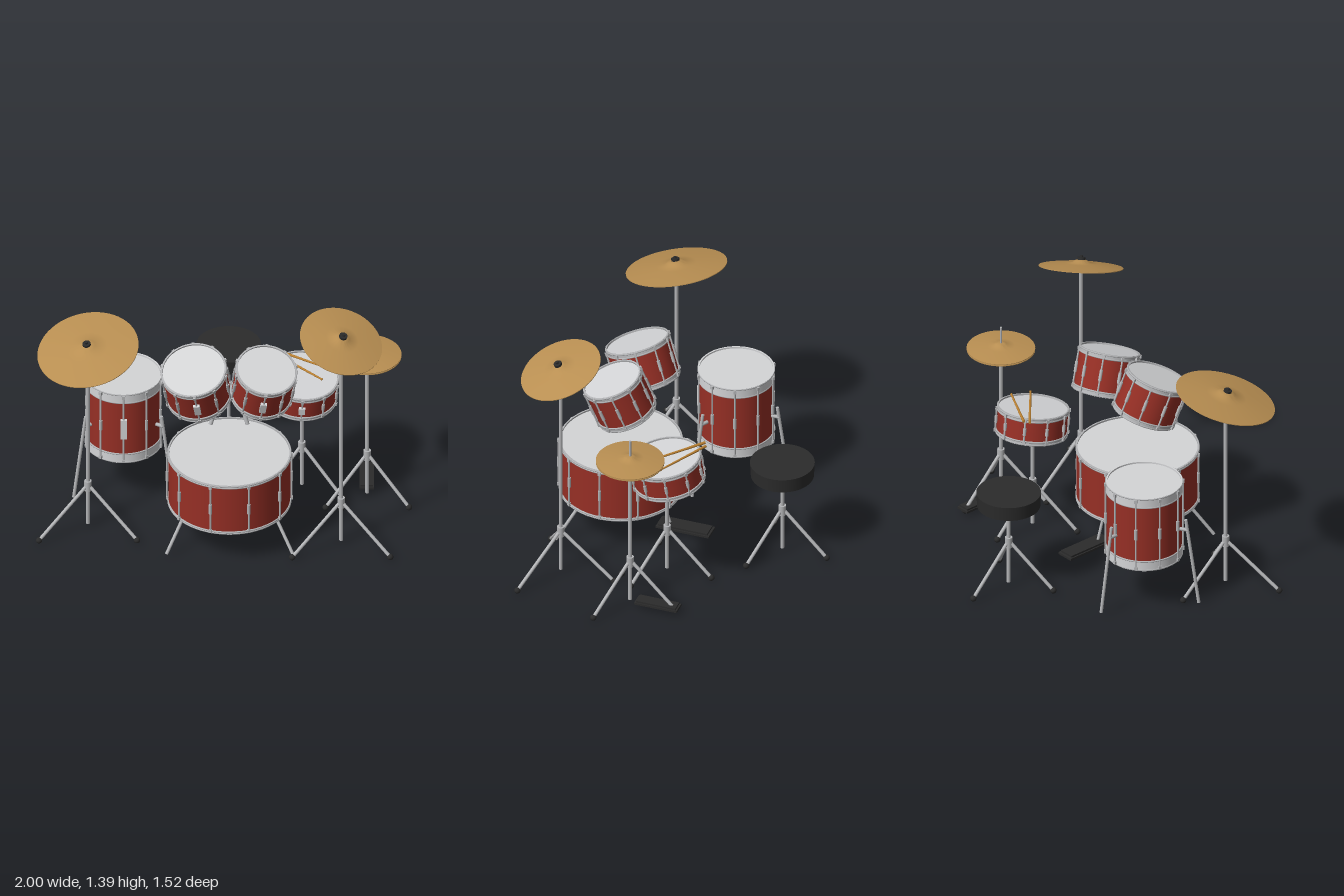
import * as THREE from 'three';
import { toCreasedNormals } from 'three/addons/utils/BufferGeometryUtils.js';

const mat = (name, color, extra = {}) => Object.assign(new THREE.MeshStandardMaterial({ color, ...extra }), { name });
const V = (x, y, z) => new THREE.Vector3(x, y, z);
const UP = V(0, 1, 0);

export function createModel() {
  const red = mat('shell red', 0x962f25);
  const chrome = mat('chrome grey', 0xb4b5b7);
  const skin = mat('drum head', 0xd4d5d7);
  const brass = mat('cymbal brass', 0xb98f52);
  const black = mat('black', 0x2b2b2b);
  const wood = mat('stick wood', 0xb98032);

  const model = new THREE.Group();
  model.name = 'drumKit';

  const group = (name, parent = model) => {
    const g = new THREE.Group();
    g.name = name;
    parent.add(g);
    return g;
  };
  const add = (parent, name, geo, material, x = 0, y = 0, z = 0) => {
    const m = new THREE.Mesh(geo, material);
    m.name = name;
    m.position.set(x, y, z);
    parent.add(m);
    return m;
  };
  const rod = (parent, name, a, b, r, material, r2 = r) => {
    const m = add(parent, name, new THREE.CylinderGeometry(r2, r, a.distanceTo(b), 12), material);
    m.position.copy(a).add(b).multiplyScalar(0.5);
    m.quaternion.setFromUnitVectors(UP, b.clone().sub(a).normalize());
    return m;
  };
  const lathe = (pts) =>
    toCreasedNormals(new THREE.LatheGeometry(pts.map(p => new THREE.Vector2(...p)), 56), 0.6);
  const ring = (ri, ro, h) =>
    lathe([[ri, -h / 2], [ro, -h / 2], [ro, h / 2], [ri, h / 2], [ri, -h / 2]]);
  const lean = (g, n) => g.quaternion.setFromUnitVectors(UP, V(...n).normalize());

  // Drum: shell, two heads, hoops, tension rods with lugs, optional front plate
  function drum(name, { pos, r, h, tilt = [0, 1, 0], hoop = 0.03, band = chrome, lugs = 10, offset = 0, plate = 0 }) {
    const g = group(name);
    g.position.set(...pos);
    lean(g, tilt);
    const rs = r * 0.965;
    add(g, 'shell', new THREE.CylinderGeometry(rs, rs, h - 0.03, 56, 1, true), red);
    for (const s of [1, -1]) {
      const end = s > 0 ? 'top' : 'bottom';
      add(g, end + 'Head', new THREE.CylinderGeometry(rs, rs, 0.01, 56), skin, 0, s * (h / 2 - 0.014), 0);
      add(g, end + 'Hoop', ring(rs - 0.004, rs + 0.004, hoop), band, 0, s * (h / 2 - hoop / 2), 0);
      for (const d of [0.005, hoop - 0.004]) {
        const t = add(g, end + 'HoopBead', new THREE.TorusGeometry(rs + 0.002, 0.005, 8, 56), chrome, 0, s * (h / 2 - d), 0);
        t.rotation.x = Math.PI / 2;
      }
    }
    for (let i = 0; i < lugs; i++) {
      const a = offset + (i / lugs) * Math.PI * 2;
      const p = group('lug', g);
      p.rotation.y = a;
      add(p, 'tensionRod', new THREE.CylinderGeometry(0.005, 0.005, h - 0.012, 8), chrome, 0, 0, rs + 0.007);
      add(p, 'lugCasing', new THREE.CylinderGeometry(0.009, 0.009, Math.min(0.06, h * 0.25), 10), chrome, 0, 0, rs + 0.006);
      for (const s of [1, -1])
        add(p, 'rodClaw', new THREE.BoxGeometry(0.016, 0.018, 0.014), chrome, 0, s * (h / 2 - 0.016), rs + 0.007);
    }
    if (plate) add(g, 'frontPlate', new THREE.BoxGeometry(0.034, plate, 0.03), skin, 0, 0, rs + 0.002);
    return g;
  }

  // Tripod stand: pole, collar and three legs with rubber feet, one pointing back
  function stand(name, x, z, top, spread) {
    const g = group(name);
    g.position.set(x, 0, z);
    rod(g, 'pole', V(0, 0.025, 0), V(0, top, 0), 0.0105, chrome);
    add(g, 'collar', new THREE.CylinderGeometry(0.02, 0.02, 0.06, 16), chrome, 0, 0.268, 0);
    for (let i = 0; i < 3; i++) {
      const a = Math.PI + (i * Math.PI * 2) / 3;
      const foot = V(Math.sin(a) * spread, 0.018, Math.cos(a) * spread);
      rod(g, 'leg', foot, V(Math.sin(a) * 0.015, 0.262, Math.cos(a) * 0.015), 0.0095, chrome);
      add(g, 'foot', new THREE.SphereGeometry(0.017, 14, 10), black, foot.x, foot.y, foot.z);
    }
    return g;
  }

  // Thin bowed disc with a raised bell in the middle
  const cymbalGeo = (r, rise) => {
    const top = [[r, 0], [r * 0.7, rise * 0.3], [r * 0.4, rise * 0.5], [r * 0.22, rise * 0.62],
      [r * 0.16, rise * 0.9], [r * 0.08, rise * 1.08], [0.0005, rise * 1.12]];
    const under = top.map(([a, b]) => [a, b - 0.004]).reverse();
    return lathe([...under, ...top]);
  };
  function crash(name, x, y, z, r, tilt) {
    stand(name + 'Stand', x, z, y + 0.01, 0.3);
    const g = group(name);
    g.position.set(x, y, z);
    lean(g, tilt);
    add(g, 'cymbal', cymbalGeo(r, 0.036), brass);
    add(g, 'felt', new THREE.CylinderGeometry(0.022, 0.022, 0.014, 18), black, 0, 0.044, 0);
    add(g, 'wingNut', new THREE.CylinderGeometry(0.008, 0.008, 0.014, 10), black, 0, 0.054, 0);
  }

  // Drums
  drum('bassDrum', { pos: [0.02, 0.355, 0.42], r: 0.335, h: 0.31, hoop: 0.018, offset: Math.PI / 10 });
  drum('floorTom', { pos: [-0.54, 0.49, -0.027], r: 0.207, h: 0.44, hoop: 0.06, band: skin, plate: 0.12 });
  drum('rightRackTom', { pos: [-0.155, 0.913, 0.36], r: 0.176, h: 0.235, tilt: [-0.14, 1, 0.36], plate: 0.07 });
  drum('leftRackTom', { pos: [0.202, 0.913, 0.36], r: 0.164, h: 0.235, tilt: [0.14, 1, 0.36], plate: 0.07 });
  drum('snareDrum', { pos: [0.406, 0.655, 0.016], r: 0.194, h: 0.155, tilt: [0.07, 1, 0.155], hoop: 0.025, plate: 0.04 });
  stand('snareStand', 0.406, 0.018, 0.59, 0.25);

  // Rack tom mounting rods
  for (const s of [1, -1])
    rod(model, 'tomMount', V(0.018 + s * 0.098, 0.69, 0.425), V(0.018 + s * 0.062, 0.81, 0.39), 0.011, chrome);

  // Floor tom legs
  for (let i = 0; i < 3; i++) {
    const a = Math.PI + (i * Math.PI * 2) / 3;
    const at = (r, y) => V(-0.54 + Math.sin(a) * r, y, -0.027 + Math.cos(a) * r);
    rod(model, 'floorTomLeg', at(0.305, 0.018), at(0.232, 0.51), 0.009, chrome);
    rod(model, 'floorTomLegClamp', at(0.195, 0.45), at(0.245, 0.45), 0.01, chrome);
  }

  // Bass drum spurs
  for (const s of [1, -1])
    rod(model, 'bassSpur', V(0.02 + s * 0.335, 0.02, 0.665), V(0.02 + s * 0.225, 0.23, 0.55), 0.009, chrome);

  // Foot pedals
  function pedal(name, x, z, w, l) {
    const g = group(name);
    g.position.set(x, 0, z);
    add(g, 'basePlate', new THREE.BoxGeometry(w, 0.012, l), black, 0, 0.027, 0);
    add(g, 'footBoard', new THREE.BoxGeometry(w * 0.85, 0.012, l * 0.92), black, 0, 0.037, 0);
  }
  pedal('bassPedal', 0.022, 0.055, 0.1, 0.3);
  rod(model, 'bassBeater', V(0.022, 0.035, 0.14), V(0.022, 0.2, 0.19), 0.008, chrome);
  pedal('hiHatPedal', 0.75, -0.055, 0.076, 0.24);

  // Crash cymbals on stands
  crash('rightCrash', -0.73, 1.14, 0.38, 0.272, [-0.17, 1, 0.215]);
  crash('leftCrash', 0.612, 1.303, 0.543, 0.225, [0.27, 1, 0.3]);

  // Hi-hat: facing pair of cymbals on a stand with a thin pull rod
  stand('hiHatStand', 0.752, 0.1, 0.89, 0.255);
  const hat = group('hiHat');
  hat.position.set(0.752, 0, 0.1);
  rod(hat, 'pullRod', V(0, 0.85, 0), V(0, 1.04, 0), 0.0065, chrome);
  add(hat, 'topCymbal', cymbalGeo(0.182, 0.026), brass, 0, 0.917, 0);
  add(hat, 'bottomCymbal', cymbalGeo(0.182, 0.026), brass, 0, 0.905, 0).rotation.x = Math.PI;

  // Throne
  stand('throneStand', 0.02, -0.492, 0.5, 0.25);
  add(model, 'seat', new THREE.CylinderGeometry(0.172, 0.168, 0.08, 56), black, 0.02, 0.533, -0.492);

  // Drumsticks resting on the snare
  for (const [a, b] of [[[0.28, -0.155], [0.555, 0.0]], [[0.25, -0.14], [0.51, 0.095]]]) {
    const butt = V(a[0], 0.764, a[1]), tip = V(b[0], 0.752, b[1]);
    rod(model, 'drumstick', butt, tip, 0.0075, wood, 0.005);
    add(model, 'stickTip', new THREE.SphereGeometry(0.007, 10, 8), wood, tip.x, tip.y, tip.z);
  }
  return model;
}
